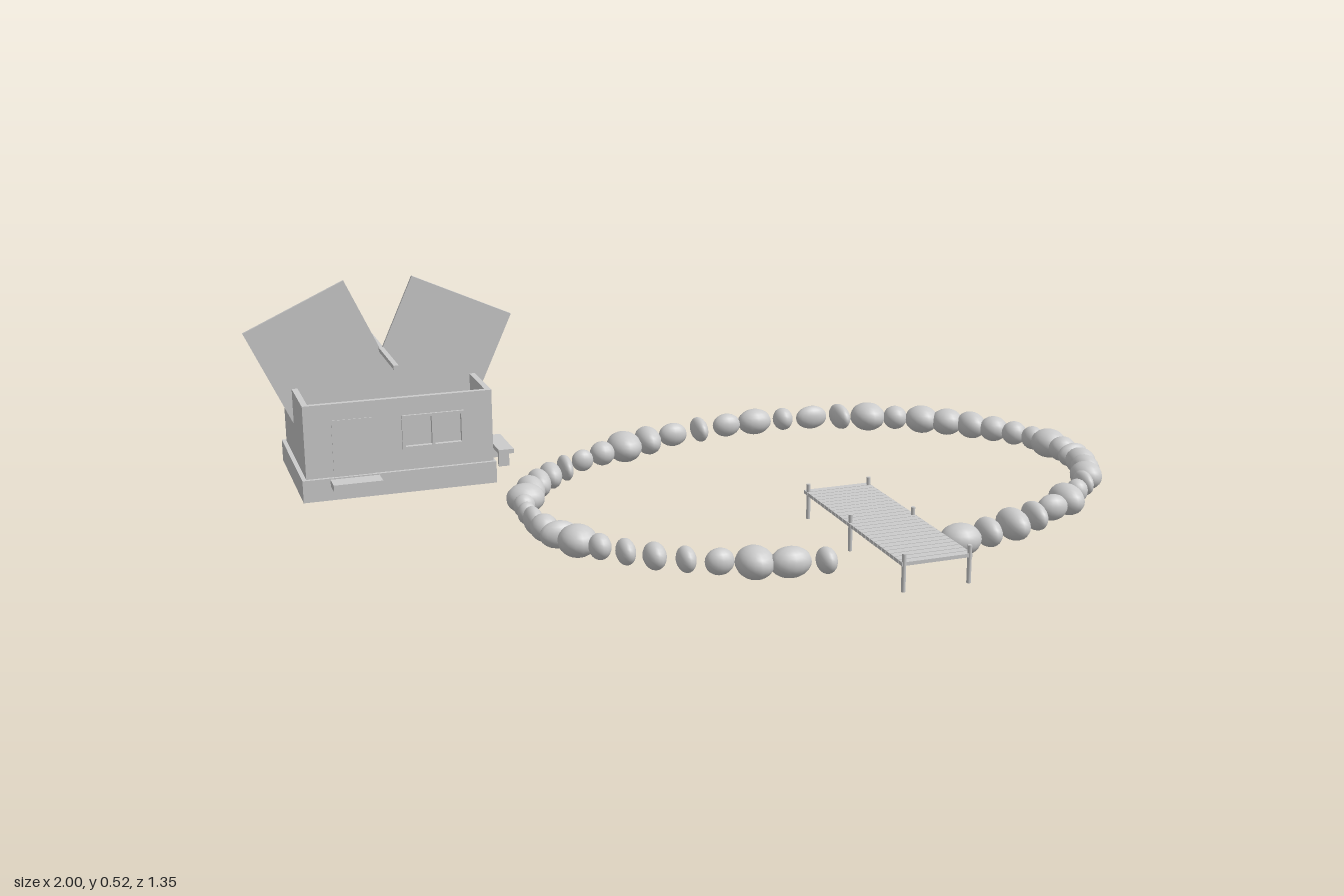
import * as THREE from 'three';

const material = new THREE.MeshStandardMaterial({ color: 0xcccccc });

// Box given by its extents on each axis
function box(parent, name, [x0, x1], [y0, y1], [z0, z1]) {
  const mesh = new THREE.Mesh(new THREE.BoxGeometry(x1 - x0, y1 - y0, z1 - z0), material);
  mesh.position.set((x0 + x1) / 2, (y0 + y1) / 2, (z0 + z1) / 2);
  mesh.name = name;
  parent.add(mesh);
  return mesh;
}

function group(parent, name) {
  const g = new THREE.Group();
  g.name = name;
  parent.add(g);
  return g;
}

function buildHouse(root) {
  const house = group(root, 'house');
  const x0 = -0.895, x1 = -0.445, z0 = -0.652, z1 = -0.307, t = 0.014;
  const wallY = [0.097, 0.275];
  box(house, 'foundation', [-0.905, -0.44], [0.043, 0.097], [-0.666, -0.298]);

  // Open-topped walls, the front one pierced by a window
  box(house, 'backWall', [x0, x1], wallY, [z0, z0 + t]);
  box(house, 'rightWall', [x0, x0 + t], wallY, [z0 + t, z1 - t]);
  box(house, 'leftWall', [x1 - t, x1], wallY, [z0 + t, z1 - t]);
  const win = { x: [-0.665, -0.515], y: [0.148, 0.232] };
  const front = [z1 - t, z1];
  box(house, 'frontWallDoorSide', [x0, win.x[0]], wallY, front);
  box(house, 'frontWallCorner', [win.x[1], x1], wallY, front);
  box(house, 'frontWallBelowWindow', win.x, [wallY[0], win.y[0]], front);
  box(house, 'frontWallAboveWindow', win.x, [win.y[1], wallY[1]], front);

  // Window frame, glazing and bars
  const frame = group(house, 'windowFrame');
  const b = 0.007, fz = [z1 - 0.006, z1 + 0.006];
  for (const y of [win.y[0], win.y[1] - b]) box(frame, 'windowRail', win.x, [y, y + b], fz);
  for (const x of [win.x[0], -0.5935, win.x[1] - b]) box(frame, 'windowBar', [x, x + b], win.y, fz);
  box(frame, 'windowPane', win.x, win.y, [z1 - 0.011, z1 - 0.008]);

  // Door and its step
  box(house, 'door', [-0.83, -0.735], [0.097, 0.235], [z1 - 0.002, z1 + 0.002]);
  box(house, 'doorStep', [-0.84, -0.724], [0.078, 0.094], [-0.30, -0.25]);

  // Upright roof panels leaning apart, crossed by the ridge beam
  for (const s of [-1, 1]) {
    const panel = new THREE.Mesh(new THREE.BoxGeometry(0.268, 0.39, 0.008), material);
    panel.position.set(-0.675 + s * 0.123, 0.298, -0.483);
    panel.rotation.z = -s * 0.43;
    panel.name = s < 0 ? 'rightRoofPanel' : 'leftRoofPanel';
    house.add(panel);
  }
  box(house, 'ridgeBeam', [-0.681, -0.669], [0.35, 0.36], [-0.68, -0.285]);
  box(house, 'chimney', [-0.802, -0.767], [0.23, 0.384], [-0.553, -0.518]);

  // Bench beside the house
  const bench = group(house, 'bench');
  box(bench, 'benchSeat', [-0.419, -0.381], [0.094, 0.105], [-0.5, -0.36]);
  for (const z of [-0.475, -0.395]) box(bench, 'benchLeg', [-0.413, -0.387], [0.055, 0.094], [z, z + 0.01]);
}

function buildDock(root) {
  const dock = group(root, 'dock');
  const count = 26, z0 = 0.155, pitch = 0.515 / count;
  for (let i = 0; i < count; i++) {
    const z = z0 + i * pitch;
    box(dock, 'plank', [0.177, 0.34], [0.085, 0.093], [z, z + pitch * 0.87]);
  }
  const postGeometry = new THREE.CylinderGeometry(0.005, 0.005, 0.084, 8);
  for (const x of [0.183, 0.335]) for (const z of [0.168, 0.4, 0.664]) {
    const post = new THREE.Mesh(postGeometry, material);
    post.position.set(x, 0.069, z);
    post.name = 'dockPost';
    dock.add(post);
  }
}

function buildStones(root) {
  const ring = group(root, 'stoneRing');
  // Half widths along x and z in hundredths, evenly spaced round an oval from the dock
  const sizes = [
    4.8, 4.2, 2.7, 4.5, 3.3, 5.4, 2.3, 4.7, 3.7, 2.7, 3.7, 5.3, 2.6, 2.6, 1.8, 3.8, 3.7, 4.3, 3.2, 4.3,
    3.5, 4.3, 4.1, 2.1, 3.5, 3.2, 4.4, 4.9, 2.8, 3.2, 3.2, 3.2, 3.7, 3.7, 3.6, 4.8, 4.2, 4.2, 4.3, 4.8,
    3.2, 3.4, 4.6, 5, 2.2, 5.1, 4.4, 2.2, 2.6, 3.2, 4.6, 3.5, 3.8, 2.6, 2, 4.7, 3.8, 2.6, 3.3, 5.4,
    4.5, 5.8, 3.2, 3.2, 2.8, 2.1, 1.7, 4.8, 2.7, 4.5, 2.8, 5, 3.4, 5.3, 4.6, 4.3, 2.6, 2.4, 2.2, 2.2,
    2.2, 4.5, 3.2, 3.6, 4.4, 2.5, 4.4, 4.8, 2.5, 3.2, 2.1, 3.6, 2.5, 3.7, 2.1, 3.4, 3.3, 2.6, 4.2, 4.9,
    4.7, 3.5, 2.2, 3.3,
  ];
  const geometry = new THREE.SphereGeometry(1, 16, 12);
  for (let i = 0; i < sizes.length / 2; i++) {
    const a = THREE.MathUtils.degToRad(78.5 - (i * 360) / 55);
    const sx = sizes[i * 2] / 100, sz = sizes[i * 2 + 1] / 100;
    const x = 0.26 + 0.697 * Math.cos(a);
    const stone = new THREE.Mesh(geometry, material);
    stone.scale.set(sx, 0.018 + 0.2 * (sx + sz), sz);
    stone.position.set(x, 0.055 + 0.017 * x + 0.005 * Math.sin(i * 12.9), 0.515 * Math.sin(a));
    stone.name = 'stone';
    ring.add(stone);
  }
}

export function createModel() {
  const root = new THREE.Group();
  root.name = 'pondWithHouse';
  buildHouse(root);
  buildDock(root);
  buildStones(root);
  return root;
}
